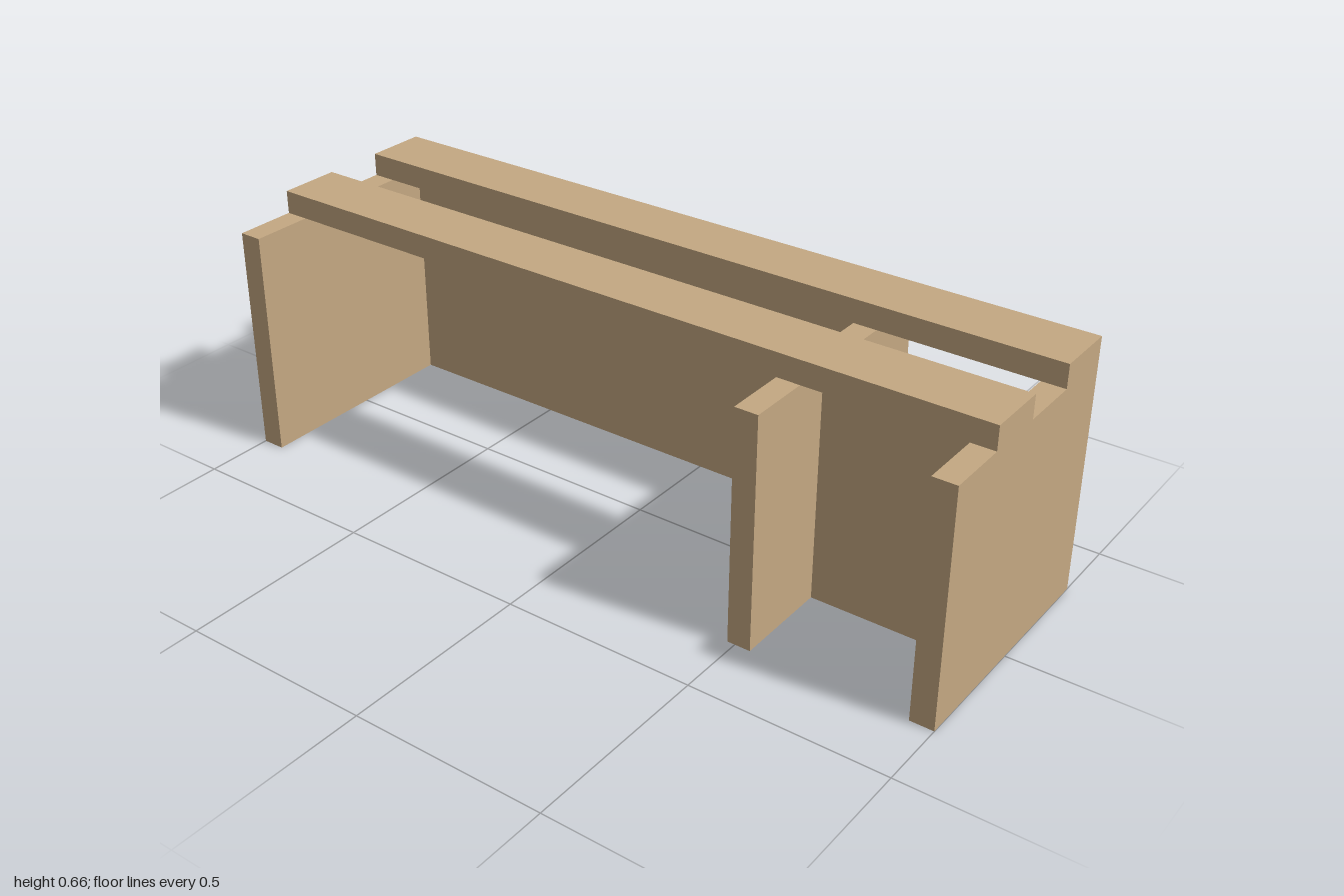
import * as THREE from 'three';

export function createModel() {
  const model = new THREE.Group();
  model.name = 'slattedBench';
  const wood = new THREE.MeshStandardMaterial({ color: 0xc4a882 });

  // Board given by its [min, max] extent on each axis
  function board(name, [x0, x1], [y0, y1], [z0, z1]) {
    const mesh = new THREE.Mesh(new THREE.BoxGeometry(x1 - x0, y1 - y0, z1 - z0), wood);
    mesh.position.set((x0 + x1) / 2, (y0 + y1) / 2, (z0 + z1) / 2);
    mesh.name = name;
    model.add(mesh);
  }

  const T = 0.06; // board thickness
  const H = 0.6; // height of the uprights
  const D = 0.32; // half depth

  // Uprights: two ends and an off-centre divider
  const uprights = { rightEnd: -1, divider: 0.48, leftEnd: 1 - T };
  for (const [name, x] of Object.entries(uprights)) {
    board(name, [x, x + T], [0, H], [-D, D]);
  }

  // Back panel of the wide bay, with a thin gap beside the divider
  board('backPanel', [-1 + T, 0.475], [0, H], [-D, -D + T]);

  // Panel set halfway into the narrow bay
  board('narrowBayPanel', [0.48 + T, 1 - T], [0, H], [-0.005, 0.065]);

  // Top slats
  board('rearSlat', [-1, 1], [H, H + T], [-D, -D / 2]);
  board('frontSlat', [-1, 1], [H, H + T], [0, D / 2]);

  return model;
}
